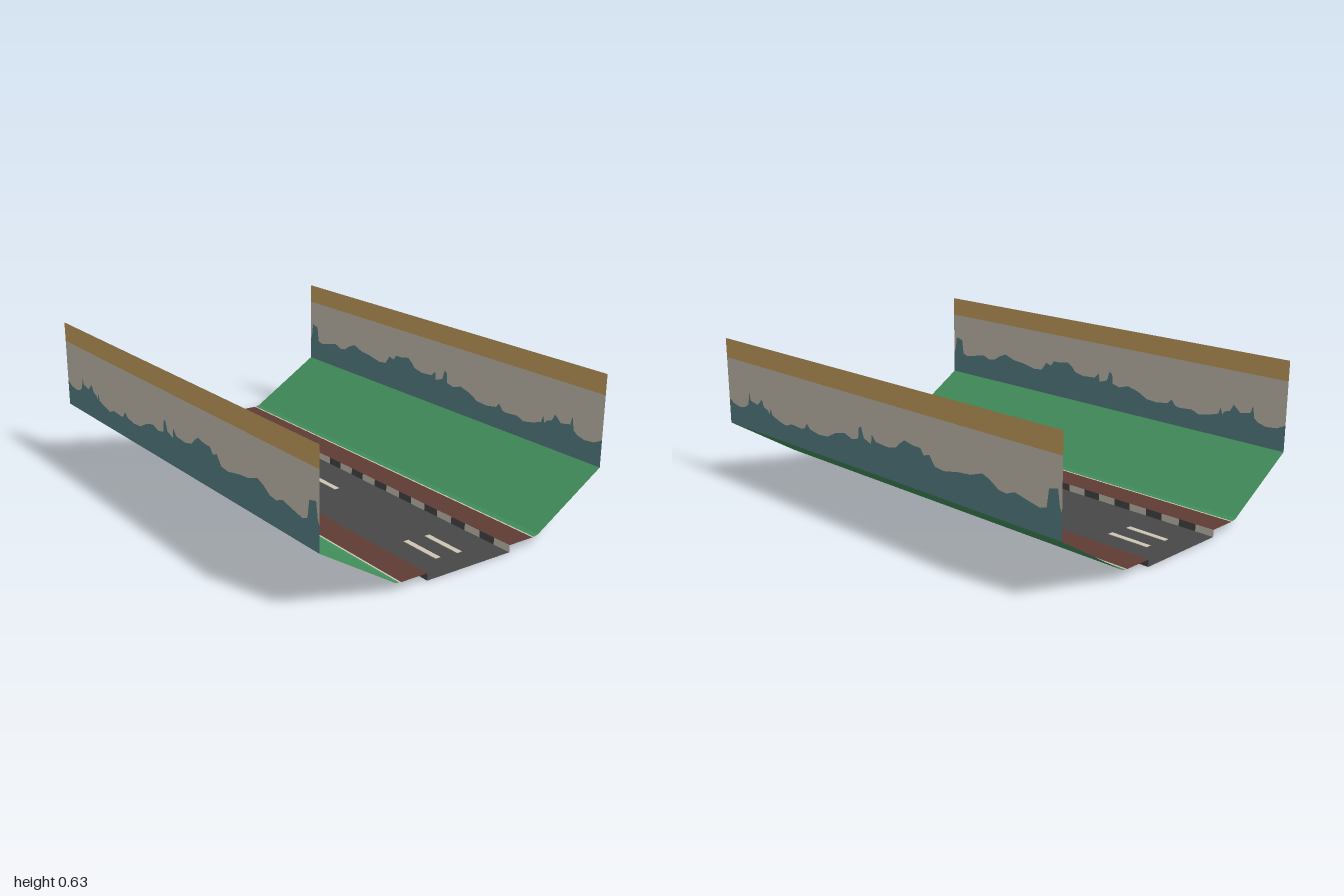
import * as THREE from 'three';

const mat = (name, color) => {
  const m = new THREE.MeshStandardMaterial({ color, side: THREE.DoubleSide });
  m.name = name;
  return m;
};

// Tops of the distant treeline painted on the wall, as x, y pairs
const TREELINE = [
  -1, .355, -.96, .335, -.91, .33, -.87, .34, -.85, .355, -.84, .41, -.83, .375, -.78, .365,
  -.745, .395, -.73, .365, -.7, .355, -.69, .34, -.68, .37, -.67, .34, -.62, .325, -.57, .315,
  -.53, .33, -.46, .325, -.44, .33, -.42, .355, -.4, .335, -.34, .325, -.28, .33, -.23, .355,
  -.17, .37, -.12, .355, -.08, .365, -.075, .41, -.06, .42, -.045, .375, 0, .36, .005, .4,
  .03, .375, .1, .37, .15, .38, .17, .4, .2, .42, .25, .41, .29, .41, .31, .385,
  .34, .395, .37, .355, .42, .35, .5, .365, .56, .37, .62, .39, .66, .375, .7, .35,
  .74, .345, .78, .36, .85, .345, .9, .335, .93, .345, .94, .415, .98, .425, .99, .36, 1, .34,
];

const WALL_Z = 0.69, WALL_BASE = 0.24, SKY_TOP = 0.543, WALL_TOP = 0.63;
const CURB_Z = 0.207, CURB_Y = 0.03;

export function createModel() {
  const model = new THREE.Group();
  model.name = 'roadSection';

  const asphalt = mat('asphalt', 0x484848);
  const paint = mat('cream paint', 0xcdc5b5);
  const brick = mat('brown paving', 0x603c35);
  const grass = mat('grass green', 0x42905c);
  const haze = mat('pale sky', 0xcdc5b5);
  const trees = mat('treeline teal', 0x58848c);
  const sand = mat('sand', 0xcda762);

  const add = (parent, name, geometry, material) => {
    const mesh = new THREE.Mesh(geometry, material);
    mesh.name = name;
    parent.add(mesh);
    return mesh;
  };

  // Flat strip running along x between two [z, y] section points
  const strip = (parent, name, material, [z0, y0], [z1, y1], x0 = -1, x1 = 1) => {
    const g = new THREE.BufferGeometry();
    g.setAttribute('position', new THREE.Float32BufferAttribute(
      [x0, y0, z0, x0, y1, z1, x1, y1, z1, x1, y0, z0], 3));
    g.setIndex([0, 1, 2, 0, 2, 3]);
    g.computeVertexNormals();
    return add(parent, name, g, material);
  };

  // Wall panel between the treeline and a level edge
  const panel = (parent, name, material, edgeY) => {
    const pts = [];
    for (let i = 0; i < TREELINE.length; i += 2) {
      pts.push(new THREE.Vector2(TREELINE[i], TREELINE[i + 1]));
    }
    pts.push(new THREE.Vector2(1, edgeY), new THREE.Vector2(-1, edgeY));
    add(parent, name, new THREE.ShapeGeometry(new THREE.Shape(pts)), material).position.z = WALL_Z;
  };

  // Carriageway
  strip(model, 'road', asphalt, [-CURB_Z, 0], [CURB_Z, 0]);

  // Each half is the other turned around the vertical axis
  for (const [name, turn] of [['frontSide', 0], ['backSide', Math.PI]]) {
    const side = new THREE.Group();
    side.name = name;
    side.rotation.y = turn;
    model.add(side);

    // Lane dashes, visible from above and below
    for (const x of [-0.795, -0.005, 0.785]) {
      add(side, 'laneDash', new THREE.BoxGeometry(0.19, 0.004, 0.024), paint).position.set(x, 0, 0.05);
    }

    // Curb face in alternating painted and bare blocks
    for (let i = 0; i < 12; i++) {
      const x = -1 + i / 6, mid = x + 0.086;
      strip(side, 'curbPainted', paint, [CURB_Z, 0], [CURB_Z, CURB_Y], x, mid);
      strip(side, 'curbBare', asphalt, [CURB_Z, 0], [CURB_Z, CURB_Y], mid, x + 1 / 6);
    }

    // Pavement, its pale edging, and the grass bank
    strip(side, 'pavement', brick, [CURB_Z, CURB_Y], [0.33, CURB_Y]);
    strip(side, 'pavementEdging', paint, [0.33, CURB_Y], [0.338, CURB_Y]);
    strip(side, 'grassVerge', grass, [0.338, CURB_Y], [0.36, 0.036]);
    strip(side, 'grassBank', grass, [0.36, 0.036], [WALL_Z, WALL_BASE]);

    // Backdrop wall
    panel(side, 'wallTreeline', trees, WALL_BASE);
    panel(side, 'wallSky', haze, SKY_TOP);
    strip(side, 'wallTopBand', sand, [WALL_Z, SKY_TOP], [WALL_Z, WALL_TOP]);
  }
  return model;
}
